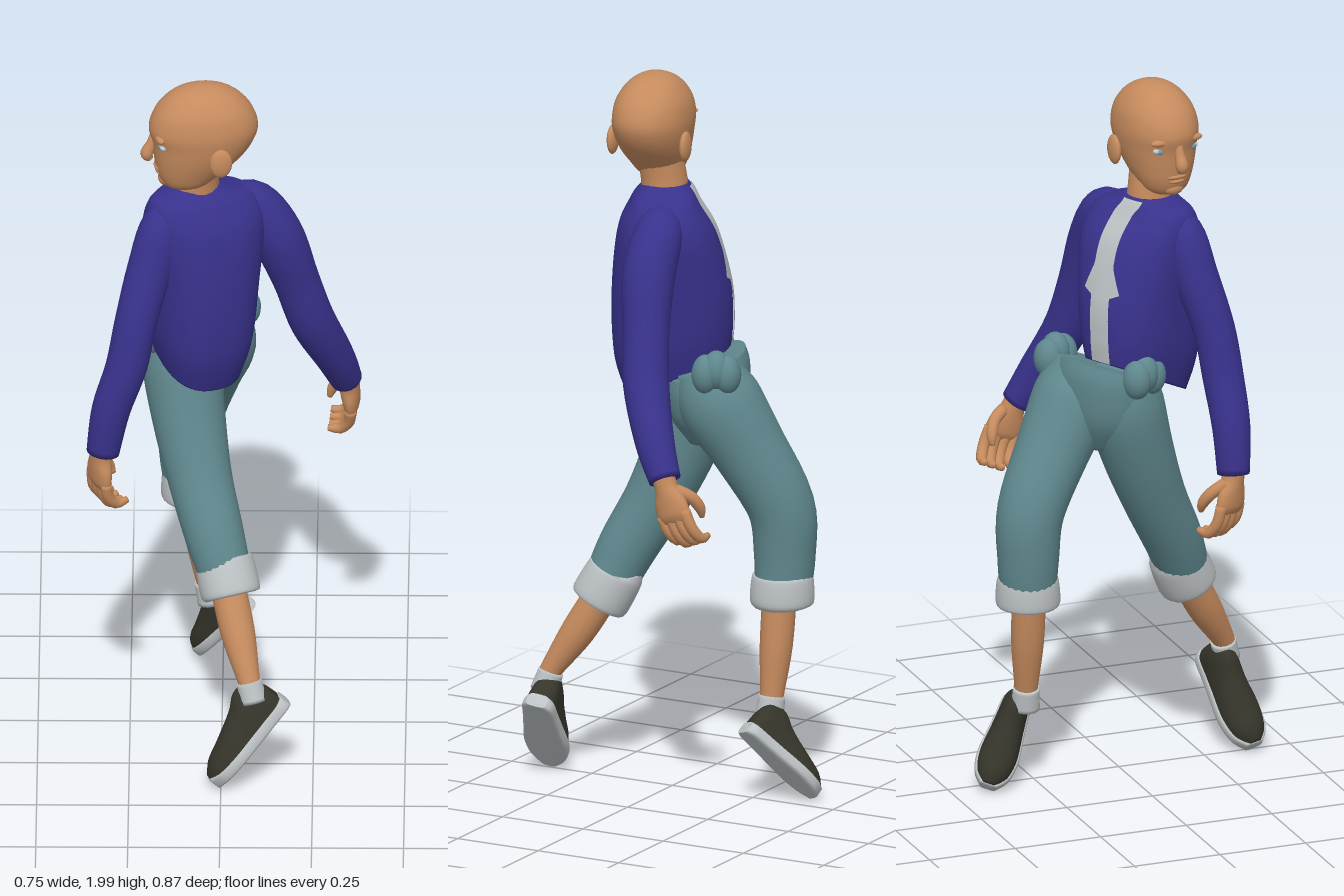
import * as THREE from 'three';

const V = (x, y, z) => new THREE.Vector3(x, y, z);
const mat = (name, color, side = THREE.FrontSide) => {
  const m = new THREE.MeshStandardMaterial({ color, side });
  m.name = name;
  return m;
};

// Smoothly resample rows of numbers (Catmull-Rom on every column)
function smooth(rows, k = 5) {
  const out = [], at = i => rows[Math.min(Math.max(i, 0), rows.length - 1)];
  for (let i = 0; i < rows.length - 1; i++) {
    for (let j = 0; j < k; j++) {
      const t = j / k;
      out.push(rows[i].map((b, c) => {
        const a = at(i - 1)[c], d = at(i + 1)[c], e = at(i + 2)[c];
        return b + 0.5 * t * (d - a + t * (2 * a - 5 * b + 4 * d - e + t * (3 * (b - d) + e - a)));
      }));
    }
  }
  out.push(rows[rows.length - 1]);
  return out;
}

// Closed skin over a list of rings, capped at both ends, always facing out
function skin(rings) {
  const n = rings[0].length, pts = rings.flat(), idx = [];
  for (let i = 0; i < rings.length - 1; i++) {
    for (let j = 0; j < n; j++) {
      const a = i * n + j, b = i * n + (j + 1) % n;
      idx.push(a, b, a + n, b, b + n, a + n);
    }
  }
  [0, rings.length - 1].forEach(r => {
    const c = pts.length;
    pts.push(rings[r].reduce((s, p) => s.add(p), V(0, 0, 0)).divideScalar(n));
    for (let j = 0; j < n; j++) {
      const a = r * n + j, b = r * n + (j + 1) % n;
      if (r) idx.push(a, b, c); else idx.push(b, a, c);
    }
  });
  let volume = 0;
  for (let i = 0; i < idx.length; i += 3) {
    volume += pts[idx[i]].dot(V(0, 0, 0).crossVectors(pts[idx[i + 1]], pts[idx[i + 2]]));
  }
  if (volume < 0) idx.reverse();
  const g = new THREE.BufferGeometry().setFromPoints(pts);
  g.setIndex(idx);
  g.computeVertexNormals();
  return g;
}

const power = (v, e) => Math.sign(v) * Math.abs(v) ** e;

// Upright body: rows [y, cx, cz, halfWidth, halfDepth, tilt], W across, F forward
function loft(rows, W, F, p, n = 32) {
  return skin(rows.map(([y, cx, cz, a, b, tilt]) => Array.from({ length: n }, (_, j) => {
    const t = j / n * Math.PI * 2;
    const w = a * power(Math.cos(t), 2 / p), f = b * power(Math.sin(t), 2 / p);
    return V(cx, y + tilt * f, cz).addScaledVector(W, w).addScaledVector(F, f);
  })));
}

// Limb: rows [x, y, z, radius]
function limb(rows, n = 18, k = 5) {
  const s = smooth(rows, k), p = s.map(r => V(r[0], r[1], r[2]));
  let u = V(0.9, 0.1, 0.4);
  return skin(s.map((r, i) => {
    const t = p[Math.min(i + 1, p.length - 1)].clone().sub(p[Math.max(i - 1, 0)]).normalize();
    u = u.clone().addScaledVector(t, -u.dot(t)).normalize();
    const v = t.clone().cross(u);
    return Array.from({ length: n }, (_, j) => {
      const a = j / n * Math.PI * 2;
      return p[i].clone().addScaledVector(u, r[3] * Math.cos(a)).addScaledVector(v, r[3] * Math.sin(a));
    });
  }));
}

export function createModel() {
  const root = new THREE.Group();
  root.name = 'walkingFigure';
  const skinMat = mat('skin', 0xc68b5e), shirt = mat('shirtBlue', 0x39328d), pants = mat('trouserTeal', 0x5f888e);
  const grey = mat('lightGrey', 0xbcc1c3, THREE.DoubleSide), dark = mat('shoeDark', 0x35352b);
  const white = mat('eyeWhite', 0xc4cccd), blue = mat('irisBlue', 0x6fa3b5);

  const add = (name, geo, material, parent = root) => {
    const m = new THREE.Mesh(geo, material);
    m.name = name;
    parent.add(m);
    return m;
  };
  const blob = (name, pos, size, material, W, F) => {
    const m = add(name, new THREE.SphereGeometry(1, 20, 14), material);
    m.matrixAutoUpdate = false;
    m.matrix.makeBasis(W, V(0, 1, 0), F).scale(V(...size)).setPosition(pos);
  };

  // Body and head directions
  const bF = V(-0.46, 0, -0.89).normalize(), bW = V(bF.z, 0, -bF.x);
  const hF = V(-0.99, 0, 0.13).normalize(), hW = V(hF.z, 0, -hF.x);

  // Shirt body, longer at the back
  const P = 2.5;
  const torso = smooth([
    [1.69, -0.075, 0.06, 0.068, 0.06, 0], [1.672, -0.07, 0.06, 0.095, 0.075, 0],
    [1.64, -0.055, 0.055, 0.15, 0.095, 0], [1.56, -0.05, 0.045, 0.165, 0.135, 0],
    [1.4, -0.06, 0.037, 0.15, 0.162, 0.1], [1.26, -0.067, 0.033, 0.137, 0.162, 0.3],
    [1.17, -0.075, 0.02, 0.115, 0.142, 0.5]], 10);
  add('shirtBody', loft(torso, bW, bF, P, 40), shirt);

  // Front stripe, following the chest and flaring in the middle
  const rows = torso.filter(r => r[0] < 1.685), cols = 4;
  const stripe = new THREE.PlaneGeometry(1, 1, cols, rows.length - 1);
  rows.forEach(([y, cx, cz, a, b, tilt], i) => {
    const half = y > 1.43 ? 0.033 + 0.03 * Math.max(0, 1 - (y - 1.43) / 0.08) : 0.032;
    for (let j = 0; j <= cols; j++) {
      const w = half * (j / cols * 2 - 1), f = b * (1 - (Math.abs(w) / a) ** P) ** (1 / P) + 0.004;
      const q = V(cx, y + tilt * f, cz).addScaledVector(bW, w).addScaledVector(bF, f);
      stripe.attributes.position.setXYZ(i * (cols + 1) + j, q.x, q.y, q.z);
    }
  });
  // Rows run downwards with the wearer's side first, so wind them to face outward
  stripe.index.array.reverse();
  stripe.computeVertexNormals();
  add('frontStripe', stripe, grey);

  // Sleeves
  add('sleeveBack', limb([[0.02, 1.61, 0.02, 0.045], [0.085, 1.59, -0.005, 0.066], [0.15, 1.49, -0.01, 0.073],
    [0.2, 1.35, -0.03, 0.064], [0.245, 1.21, -0.055, 0.063], [0.305, 1.07, -0.115, 0.054], [0.336, 0.975, -0.165, 0.044]]), shirt);
  add('sleeveFront', limb([[-0.1, 1.61, 0.085, 0.045], [-0.155, 1.59, 0.12, 0.062], [-0.195, 1.47, 0.15, 0.062],
    [-0.232, 1.33, 0.187, 0.058], [-0.258, 1.2, 0.203, 0.057], [-0.3, 1.07, 0.21, 0.053], [-0.322, 0.94, 0.208, 0.045]]), shirt);

  // Hands: wrist and palm, four curled fingers and a thumb on the body's front side
  function hand(name, wrist, d, c) {
    const g = new THREE.Group();
    g.name = name;
    root.add(g);
    d.normalize();
    c.addScaledVector(d, -c.dot(d)).normalize();
    const s = d.clone().cross(c);
    if (s.dot(bF) < 0) s.negate();
    const at = (x, y, z) => wrist.clone().addScaledVector(d, x).addScaledVector(c, y).addScaledVector(s, z);
    const palm = [[-0.03, 0.033, 0.033], [0.01, 0.029, 0.034], [0.05, 0.026, 0.05], [0.085, 0.022, 0.053], [0.105, 0.012, 0.042]];
    add('palm', skin(smooth(palm).map(([x, t, w]) => Array.from({ length: 16 }, (_, j) =>
      at(x, t * Math.cos(j * Math.PI / 8), w * Math.sin(j * Math.PI / 8))))), skinMat, g);
    const digit = (label, pts) => add(label, limb(pts.map(([x, y, z, r]) => [...at(x, y, z).toArray(), r]), 10, 3), skinMat, g);
    for (let i = 0; i < 4; i++) {
      const z = (i - 1.5) * 0.026, l = i === 0 ? 0.85 : 1;
      digit('finger', [[0.08, 0, z, 0.016], [0.08 + 0.05 * l, 0.008, z, 0.016],
        [0.08 + 0.085 * l, 0.035, z, 0.015], [0.08 + 0.082 * l, 0.07, z, 0.009]]);
    }
    digit('thumb', [[0.02, 0.005, 0.024, 0.018], [0.05, 0.032, 0.048, 0.017], [0.085, 0.058, 0.048, 0.015], [0.11, 0.068, 0.038, 0.007]]);
  }
  hand('handBack', V(0.343, 0.965, -0.17), V(0.1, -0.9, -0.36), V(-1, 0, -0.1));
  hand('handFront', V(-0.328, 0.935, 0.205), V(-0.05, -0.95, -0.12), V(0.85, 0, -0.5));

  // Trousers: hips, gathered waist at both sides, legs with turned-up cuffs
  add('hips', loft(smooth([[1.2, -0.075, -0.065, 0.135, 0.105, 0.4], [1.15, -0.075, -0.07, 0.143, 0.115, 0.3],
    [1.06, -0.075, -0.07, 0.125, 0.105, 0.1], [0.98, -0.07, -0.075, 0.07, 0.06, 0]]), bW, bF, 2.2), pants);
  [[0.05, -0.165], [-0.2, -0.005]].forEach(([x, z]) => [-1, 0, 1].forEach(i =>
    blob('waistFold', V(x, 1.205 + 0.012 * (1 - Math.abs(i)), z).addScaledVector(bF, i * 0.03),
      [0.042, 0.055, 0.038], pants, bW, bF)));
  const legs = [
    { name: 'Front',
      trouser: [[-0.12, 1.2, -0.03, 0.085], [-0.11, 1.1, -0.025, 0.108], [-0.09, 0.95, 0.02, 0.1], [-0.06, 0.8, 0.08, 0.088], [-0.02, 0.66, 0.15, 0.081], [0.01, 0.56, 0.19, 0.072]],
      cuff: [[0.005, 0.602, 0.168, 0.068], [0.007, 0.59, 0.173, 0.079], [0.025, 0.515, 0.21, 0.082], [0.028, 0.503, 0.216, 0.068]],
      calf: [[0.015, 0.54, 0.2, 0.048], [0.045, 0.42, 0.268, 0.047], [0.075, 0.31, 0.335, 0.031], [0.085, 0.27, 0.35, 0.03]],
      sock: [[0.076, 0.305, 0.335, 0.035], [0.09, 0.25, 0.35, 0.038]],
      heel: V(0.18, 0.235, 0.325), toe: V(0, 0.025, 0.385), up: V(-0.7, 0.7, 0) },
    { name: 'Back',
      trouser: [[-0.02, 1.2, -0.1, 0.085], [-0.022, 1.11, -0.135, 0.115], [-0.05, 0.98, -0.21, 0.103], [-0.085, 0.82, -0.29, 0.093], [-0.09, 0.68, -0.3, 0.084], [-0.083, 0.58, -0.297, 0.077]],
      cuff: [[-0.082, 0.632, -0.298, 0.073], [-0.082, 0.62, -0.298, 0.084], [-0.08, 0.555, -0.297, 0.088], [-0.08, 0.54, -0.297, 0.073]],
      calf: [[-0.075, 0.57, -0.292, 0.047], [-0.06, 0.43, -0.29, 0.045], [-0.042, 0.3, -0.287, 0.033], [-0.03, 0.25, -0.285, 0.031]],
      sock: [[-0.042, 0.292, -0.287, 0.036], [-0.03, 0.23, -0.285, 0.04]],
      heel: V(0.075, 0.215, -0.265), toe: V(-0.05, 0.028, -0.4), up: V(-0.75, 0.6, -0.2) }];
  // Shoe profile: distance from heel, half width, height
  const last = smooth([[0, 0.026, 0.07], [0.02, 0.04, 0.115], [0.07, 0.045, 0.122], [0.12, 0.05, 0.096],
    [0.2, 0.058, 0.068], [0.26, 0.048, 0.05], [0.295, 0.022, 0.026]]);
  const shoeRing = fn => skin(last.map(([z, w, h]) => Array.from({ length: 24 }, (_, j) =>
    fn(z, w, h, Math.cos(j * Math.PI / 12), Math.sin(j * Math.PI / 12)))));
  legs.forEach(l => {
    add('trouserLeg' + l.name, limb(l.trouser, 24), pants);
    add('cuff' + l.name, limb(l.cuff, 24), grey);
    add('calf' + l.name, limb(l.calf), skinMat);
    add('sock' + l.name, limb(l.sock), grey);
    const shoe = new THREE.Group(), d = l.toe.clone().sub(l.heel), k = d.length() / 0.285;
    shoe.name = 'shoe' + l.name;
    d.normalize();
    const up = l.up.clone().addScaledVector(d, -l.up.dot(d)).normalize();
    shoe.quaternion.setFromRotationMatrix(new THREE.Matrix4().makeBasis(up.clone().cross(d), up, d));
    shoe.position.copy(l.heel);
    shoe.scale.setScalar(k);
    add('upper', shoeRing((z, w, h, c, s) => V(w * c, 0.015 + h * (s > 0 ? s ** 0.85 : 0), z)), dark, shoe);
    add('sole', shoeRing((z, w, h, c, s) => V(w * 1.1 * power(c, 0.5), 0.014 + 0.02 * power(s, 0.5), z * 1.03 - 0.005)), grey, shoe);
    root.add(shoe);
  });

  // Neck and head
  add('neck', limb([[-0.072, 1.64, 0.06, 0.066], [-0.07, 1.71, 0.066, 0.063], [-0.06, 1.78, 0.075, 0.062]]), skinMat);
  add('head', loft(smooth([
    [2.0, -0.05, 0.085, 0.012, 0.02, 0], [1.992, -0.05, 0.085, 0.042, 0.055, 0], [1.97, -0.05, 0.085, 0.072, 0.096, 0],
    [1.93, -0.05, 0.085, 0.097, 0.132, 0], [1.88, -0.05, 0.085, 0.106, 0.149, 0], [1.835, -0.052, 0.085, 0.102, 0.138, 0],
    [1.79, -0.066, 0.087, 0.092, 0.119, 0], [1.75, -0.085, 0.089, 0.078, 0.093, 0], [1.72, -0.096, 0.091, 0.063, 0.07, 0],
    [1.705, -0.1, 0.092, 0.045, 0.05, 0], [1.698, -0.1, 0.092, 0.022, 0.025, 0]]), hW, hF, 2.15), skinMat);
  const face = (w, y, f) => V(-0.05, y, 0.085).addScaledVector(hW, w).addScaledVector(hF, f);
  add('nose', limb([[...face(0, 1.865, 0.134).toArray(), 0.01], [...face(0, 1.83, 0.143).toArray(), 0.014],
    [...face(0, 1.8, 0.155).toArray(), 0.018], [...face(0, 1.784, 0.145).toArray(), 0.01]], 12), skinMat);
  blob('upperLip', face(0, 1.763, 0.123), [0.03, 0.008, 0.013], skinMat, hW, hF);
  blob('lowerLip', face(0, 1.749, 0.12), [0.026, 0.008, 0.012], skinMat, hW, hF);
  blob('chin', face(0, 1.724, 0.104), [0.03, 0.02, 0.02], skinMat, hW, hF);
  [-1, 1].forEach(s => {
    blob('brow', face(s * 0.045, 1.868, 0.124), [0.034, 0.011, 0.014], skinMat, hW, hF);
    blob('eye', face(s * 0.048, 1.843, 0.116), [0.021, 0.011, 0.012], white, hW, hF);
    blob('iris', face(s * 0.049, 1.843, 0.122), [0.011, 0.01, 0.008], blue, hW, hF);
    blob('ear', face(s * 0.106, 1.81, -0.035), [0.014, 0.042, 0.031], skinMat, hW, hF);
  });
  return root;
}
